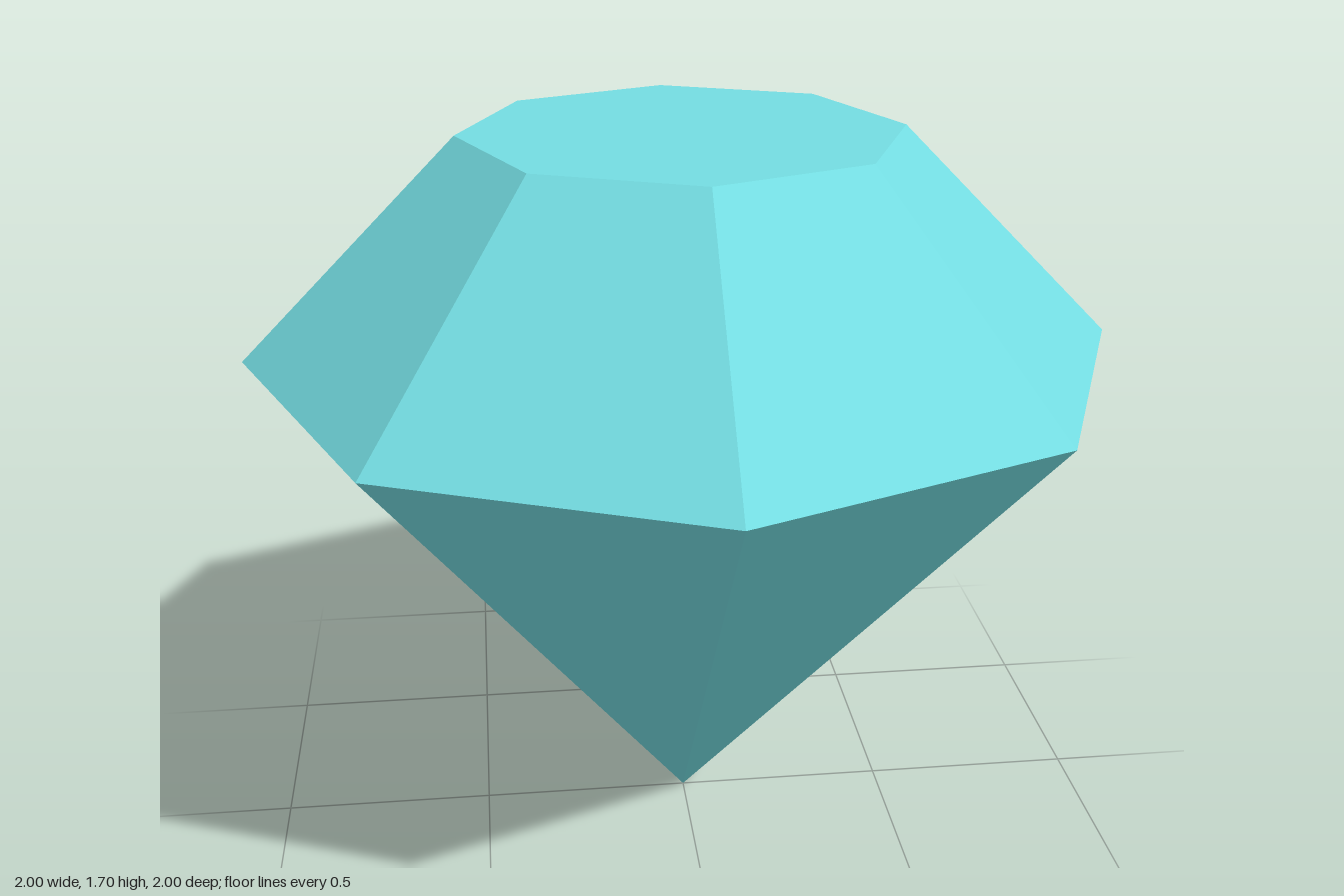
import * as THREE from 'three';

export function createModel() {
  const gem = new THREE.Group();
  gem.name = 'gem';

  const gemBlue = new THREE.MeshStandardMaterial({ color: 0x74dde2, flatShading: true });
  gemBlue.name = 'gemBlue';

  const SIDES = 8, GIRDLE_Y = 1.2, GIRDLE_R = 1, TABLE_Y = 1.7, TABLE_R = 0.5;

  const addPart = (name, geometry, y) => {
    const mesh = new THREE.Mesh(geometry, gemBlue);
    mesh.name = name;
    mesh.position.y = y;
    gem.add(mesh);
  };

  // Lower facets, meeting in a point on the ground
  addPart('pavilion',
    new THREE.CylinderGeometry(GIRDLE_R, 0, GIRDLE_Y, SIDES, 1, true), GIRDLE_Y / 2);

  // Sloping upper facets
  addPart('crown',
    new THREE.CylinderGeometry(TABLE_R, GIRDLE_R, TABLE_Y - GIRDLE_Y, SIDES, 1, true),
    (GIRDLE_Y + TABLE_Y) / 2);

  // Flat top facet
  const table = new THREE.CircleGeometry(TABLE_R, SIDES);
  table.rotateX(-Math.PI / 2);
  addPart('table', table, TABLE_Y);

  return gem;
}
